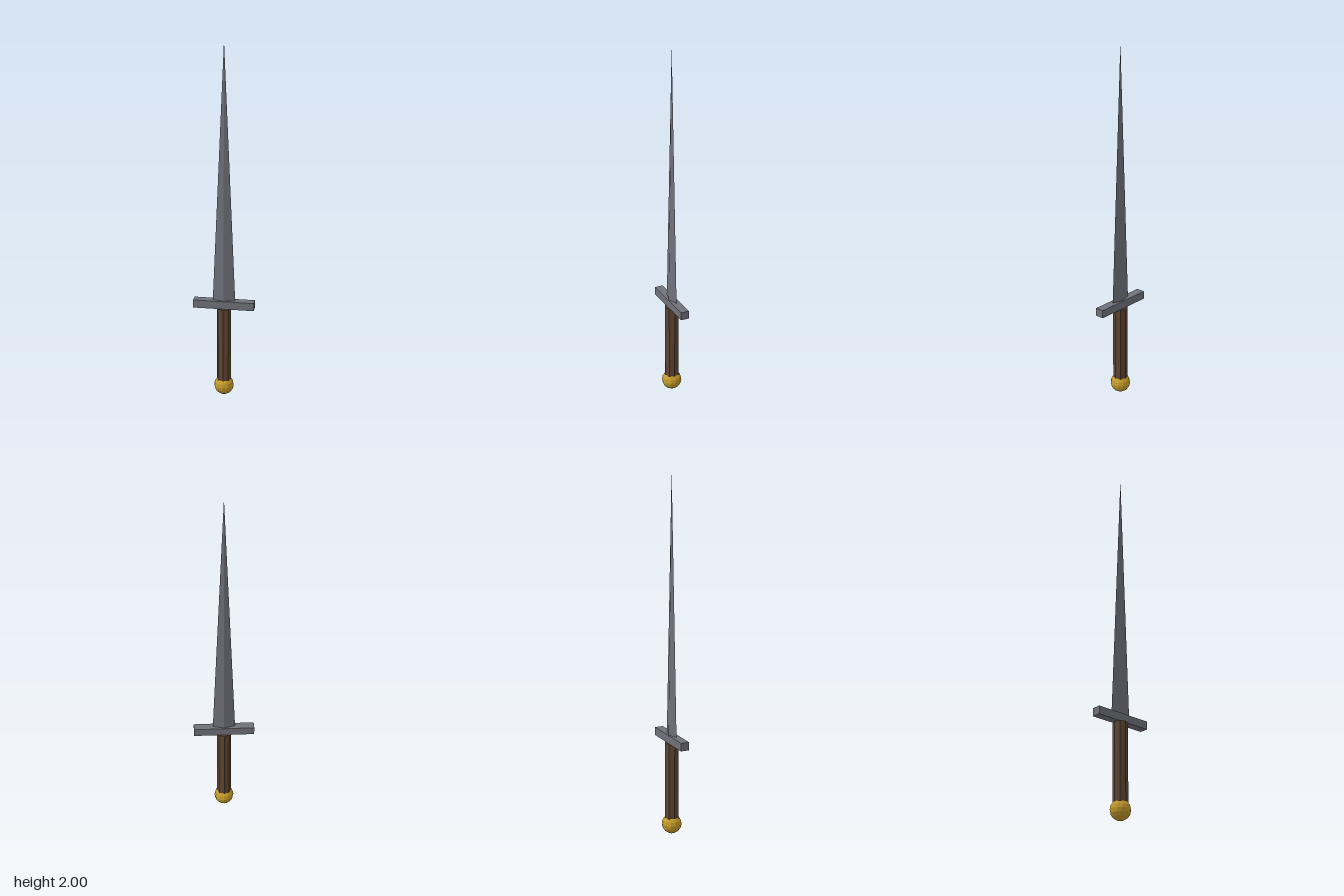
import * as THREE from 'three';

function flatMaterial(name, color) {
  const material = new THREE.MeshStandardMaterial({ color, flatShading: true });
  material.name = name;
  return material;
}

export function createModel() {
  const group = new THREE.Group();
  group.name = 'dagger';

  const steel = flatMaterial('steel', 0x70717a);
  const wood = flatMaterial('wood', 0x5e4533);
  const gold = flatMaterial('gold', 0xc49a2a);

  function add(name, geometry, material, y) {
    const mesh = new THREE.Mesh(geometry, material);
    mesh.name = name;
    mesh.position.y = y;
    group.add(mesh);
  }

  // Pommel: faceted ball
  add('pommel', new THREE.SphereGeometry(0.055, 12, 8), gold, 0.055);

  // Grip: eight-sided handle running from the pommel to the guard
  add('grip', new THREE.CylinderGeometry(0.04, 0.04, 0.46, 8), wood, 0.293);

  // Crossguard
  add('crossguard', new THREE.BoxGeometry(0.336, 0.045, 0.048), steel, 0.545);

  // Blade: four-sided spike flattened to a diamond section
  const blade = new THREE.ConeGeometry(1, 1.435, 4).scale(0.062, 1, 0.018);
  add('blade', blade, steel, 0.565 + 1.435 / 2);

  return group;
}
